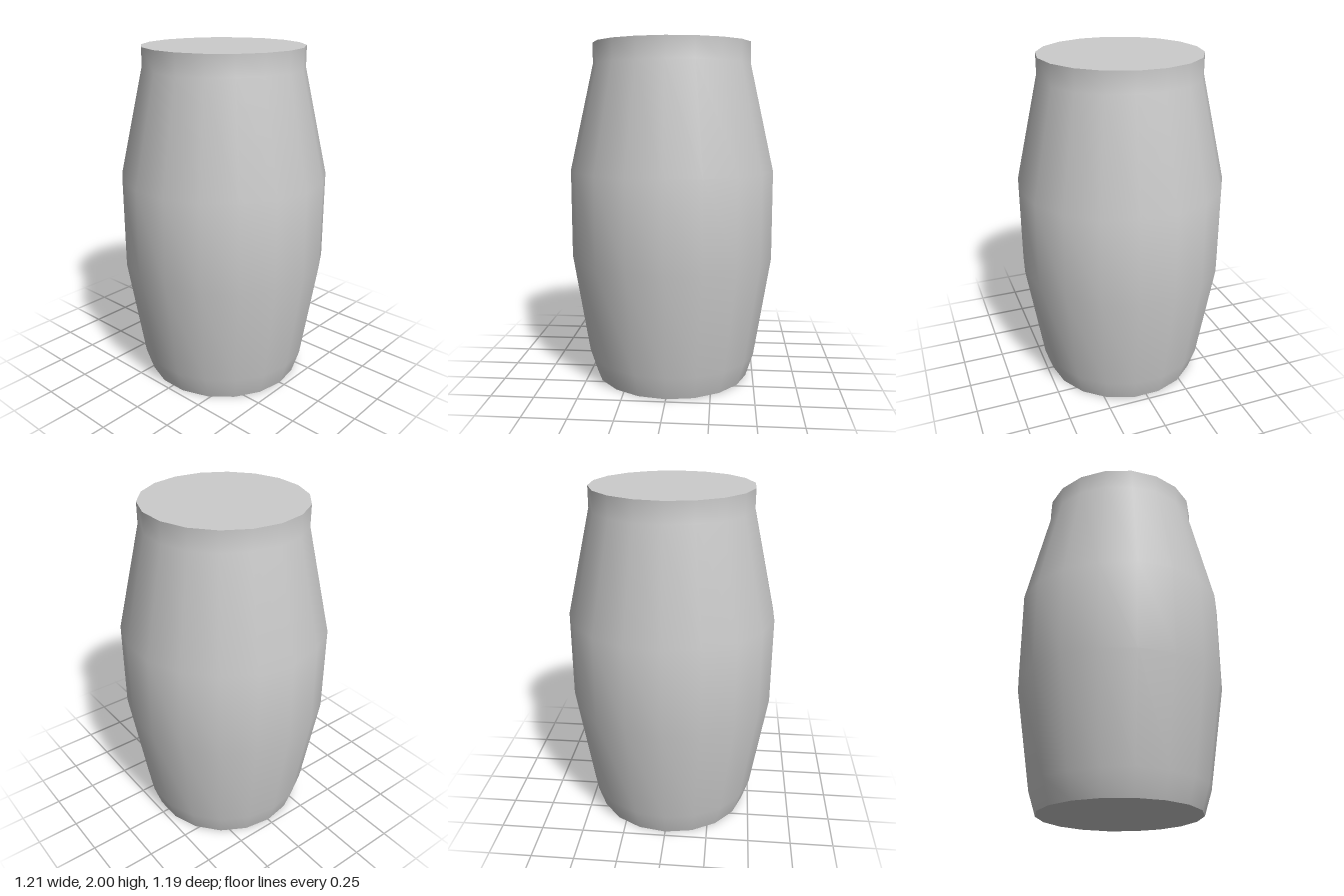
import * as THREE from 'three';

const SIDES = 18;
const RIM = 0.465;

export function createModel() {
  const group = new THREE.Group();
  group.name = 'barrel';
  const material = new THREE.MeshStandardMaterial({ color: 0xcccccc });

  const add = (name, geometry) => {
    const mesh = new THREE.Mesh(geometry, material);
    mesh.name = name;
    group.add(mesh);
    return mesh;
  };

  // Bulging wall with a tapered foot and a short straight neck (radius, height)
  const profile = [
    [RIM, 0], [0.51, 0.14], [0.606, 0.74],
    [0.606, 1.26], [RIM, 1.88], [RIM, 2],
  ].map(([r, y]) => new THREE.Vector2(r, y));
  add('wall', new THREE.LatheGeometry(profile, SIDES, Math.PI / 2));

  // Flat lid and base, with corners matching the wall
  const lid = add('lid', new THREE.CircleGeometry(RIM, SIDES));
  lid.rotation.x = -Math.PI / 2;
  lid.position.y = 2;

  const base = add('base', new THREE.CircleGeometry(RIM, SIDES));
  base.rotation.x = Math.PI / 2;

  return group;
}
